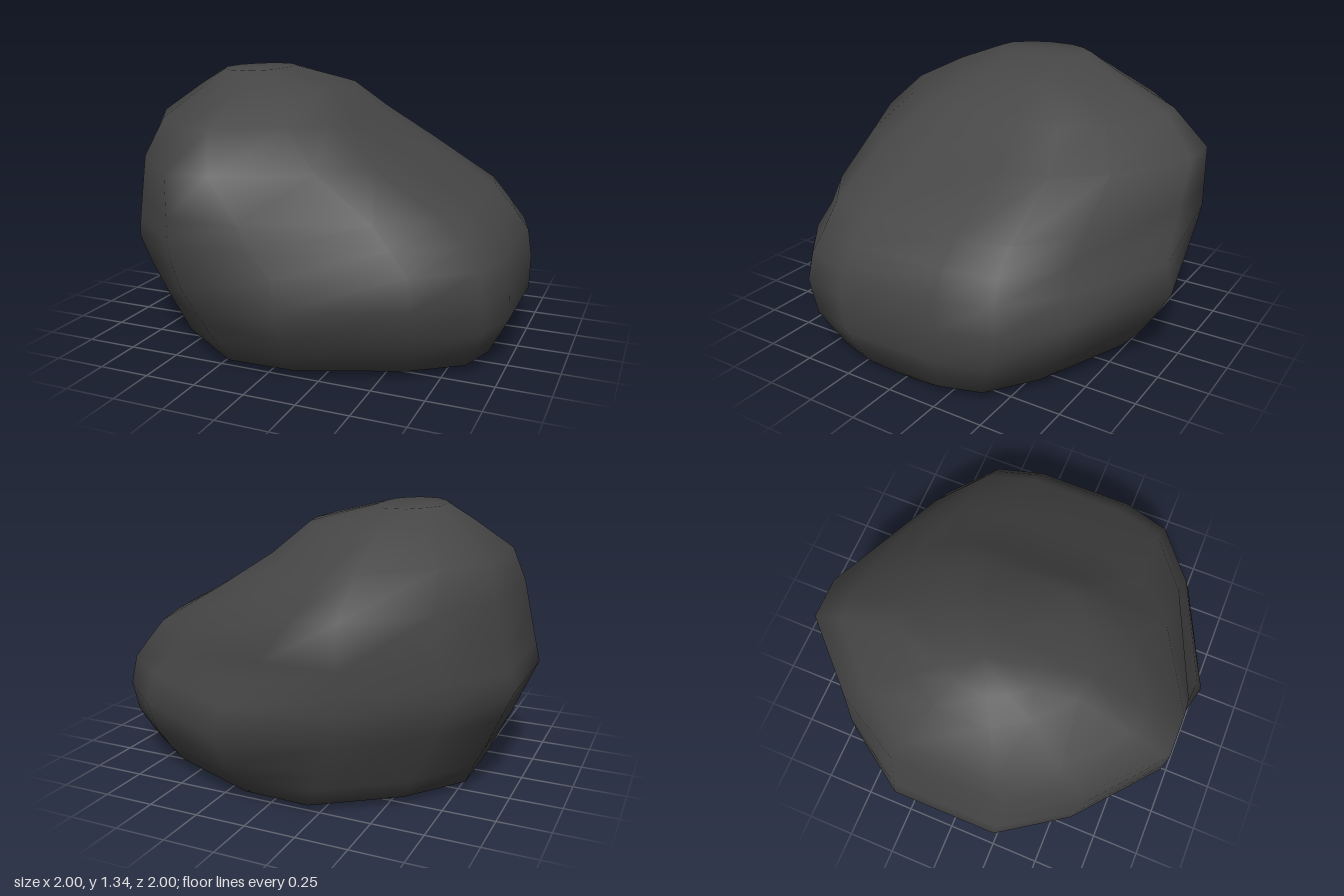
import * as THREE from 'three';

// One row per level of the boulder, bottom to top:
// y, left end x, right end x, left corner x and half depth, right corner x and half depth
const LEVELS = [
  [0.0, -0.71, 0.87, -0.2, 0.3, 0.13, 0.3],
  [0.035, -0.78, 0.9, -0.2, 0.77, 0.13, 0.76],
  [0.13, -0.82, 0.95, -0.25, 0.8, 0.14, 0.84],
  [0.23, -0.87, 1.0, -0.3, 0.83, 0.15, 0.91],
  [0.39, -0.94, 1.0, -0.38, 0.87, 0.15, 1.0],
  [0.53, -1.0, 0.98, -0.41, 0.9, 0.12, 0.96],
  [0.63, -0.975, 0.91, -0.41, 0.92, 0.0, 0.93],
  [0.74, -0.95, 0.81, -0.41, 0.92, -0.05, 0.93],
  [0.94, -0.905, 0.46, -0.41, 0.92, -0.2, 0.92],
  [1.11, -0.85, 0.2, -0.42, 0.73, -0.28, 0.75],
  [1.25, -0.67, 0.06, -0.4, 0.44, -0.28, 0.46],
  [1.33, -0.56, -0.25, -0.45, 0.24, -0.35, 0.25],
];

// Facets of each end, as shares of its reach and half depth
const RIGHT_END = [[1, 0.27], [0.92, 0.53], [0.62, 0.75], [0, 1]];
const LEFT_END = [[0, 1], [0.63, 0.66], [1, 0.3]];
const SIDES = 2 * (RIGHT_END.length + LEFT_END.length);

// Outline of one level: the front half from right to left, then its mirror image
function outline([y, left, right, leftX, leftDepth, rightX, rightDepth]) {
  const front = [
    ...RIGHT_END.map(([u, v]) => [rightX + (right - rightX) * u, y, rightDepth * v]),
    ...LEFT_END.map(([u, v]) => [leftX + (left - leftX) * u, y, leftDepth * v]),
  ];
  const back = front.map(([x, h, z]) => [x, h, -z]).reverse();
  return [...front, ...back];
}

function boulderGeometry() {
  const positions = LEVELS.flatMap(outline).flat();
  const index = [];

  // Skin between neighbouring levels
  for (let r = 0; r < LEVELS.length - 1; r++) {
    for (let i = 0; i < SIDES; i++) {
      const p = r * SIDES + i;
      const q = r * SIDES + ((i + 1) % SIDES);
      index.push(p, p + SIDES, q, q, p + SIDES, q + SIDES);
    }
  }

  // Underside and crown
  const bottom = positions.length / 3;
  const last = (LEVELS.length - 1) * SIDES;
  positions.push(0.08, 0, 0, -0.4, 1.335, 0);
  for (let i = 0; i < SIDES; i++) {
    const j = (i + 1) % SIDES;
    index.push(bottom, i, j, bottom + 1, last + j, last + i);
  }

  const geometry = new THREE.BufferGeometry();
  geometry.setAttribute('position', new THREE.Float32BufferAttribute(positions, 3));
  geometry.setIndex(index);
  geometry.computeVertexNormals();
  return geometry;
}

export function createModel() {
  const stone = new THREE.MeshStandardMaterial({ color: 0x464646 });
  stone.name = 'dark stone';

  const boulder = new THREE.Mesh(boulderGeometry(), stone);
  boulder.name = 'boulder';

  const model = new THREE.Group();
  model.name = 'rock';
  model.add(boulder);
  return model;
}
